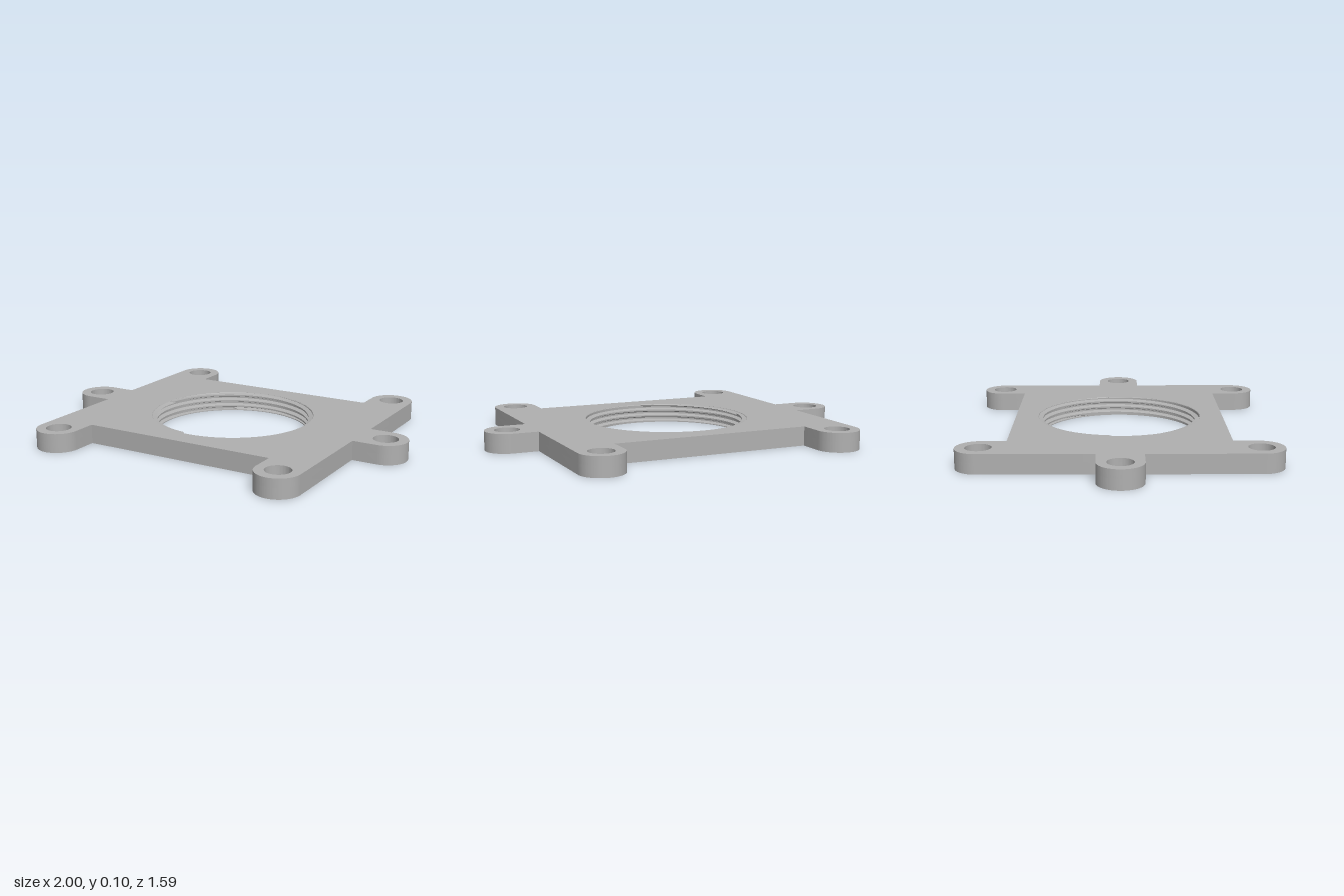
import * as THREE from 'three';
import { toCreasedNormals } from 'three/addons/utils/BufferGeometryUtils.js';

const HEIGHT = 0.1, SPLIT = 0.055;        // plate thickness, groove depth
const MINOR = 0.41, MAJOR = 0.433;        // thread radii
const LUG = 0.115, LUG_HOLE = 0.065;
const LUG_X = 0.64, LUG_Z = 0.68, SIDE_X = 0.885;
const PLATE_X = LUG_X + LUG, PLATE_Z = 0.555;

function circle(x, y, r) {
  return new THREE.Path().absarc(x, y, r, 0, Math.PI * 2, true);
}

function rectangle(Type, w, h) {
  return new Type([[-w, -h], [w, -h], [w, h], [-w, h]].map(([x, y]) => new THREE.Vector2(x, y)));
}

// Plate outline with four corner lugs and two side lugs, all drilled
function plateShape() {
  const s = new THREE.Shape();
  const inner = LUG_X - LUG, q = Math.PI / 2;
  s.moveTo(PLATE_X, -LUG);
  s.lineTo(SIDE_X, -LUG);
  s.absarc(SIDE_X, 0, LUG, -q, q, false);
  s.lineTo(PLATE_X, LUG);
  s.lineTo(PLATE_X, LUG_Z);
  s.absarc(LUG_X, LUG_Z, LUG, 0, Math.PI, false);
  s.lineTo(inner, PLATE_Z);
  s.lineTo(-inner, PLATE_Z);
  s.lineTo(-inner, LUG_Z);
  s.absarc(-LUG_X, LUG_Z, LUG, 0, Math.PI, false);
  s.lineTo(-PLATE_X, LUG);
  s.lineTo(-SIDE_X, LUG);
  s.absarc(-SIDE_X, 0, LUG, q, 3 * q, false);
  s.lineTo(-PLATE_X, -LUG);
  s.lineTo(-PLATE_X, -LUG_Z);
  s.absarc(-LUG_X, -LUG_Z, LUG, Math.PI, 2 * Math.PI, false);
  s.lineTo(-inner, -PLATE_Z);
  s.lineTo(inner, -PLATE_Z);
  s.lineTo(inner, -LUG_Z);
  s.absarc(LUG_X, -LUG_Z, LUG, Math.PI, 2 * Math.PI, false);
  s.closePath();
  for (const sx of [-1, 1]) {
    s.holes.push(circle(sx * SIDE_X, 0, LUG_HOLE));
    for (const sz of [-1, 1]) s.holes.push(circle(sx * LUG_X, sz * LUG_Z, LUG_HOLE));
  }
  return s;
}

// Flat layer between two heights
function layer(shape, y0, y1) {
  const g = new THREE.ExtrudeGeometry(shape, { depth: y1 - y0, bevelEnabled: false, curveSegments: 32 });
  g.rotateX(-Math.PI / 2);
  g.translate(0, y0, 0);
  return toCreasedNormals(g, 0.5);
}

// Helical thread facing the axis: a lathe whose rows climb one pitch per turn
function threadGeometry() {
  const pitch = 0.032, segments = 96;
  const profile = [[0.8, MAJOR], [0.55, MAJOR], [0.3, MINOR], [0.05, MINOR]];
  const rows = [new THREE.Vector2(MAJOR + 0.002, HEIGHT)];
  for (let k = 4; k >= -2; k--) {
    for (const [f, r] of profile) rows.push(new THREE.Vector2(r, (k + f) * pitch));
  }
  rows.push(new THREE.Vector2(MINOR, 0), new THREE.Vector2(MAJOR + 0.002, 0));
  const g = new THREE.LatheGeometry(rows, segments);
  const p = g.attributes.position;
  for (let i = 0; i < p.count; i++) {
    const row = i % rows.length, seg = Math.floor(i / rows.length);
    if (row === 0 || row >= rows.length - 2) continue;
    const angle = (seg / segments) * Math.PI * 2;
    let y = rows[row].y + (pitch * seg) / segments, r = rows[row].x;
    if (y > HEIGHT - 0.003) { y = HEIGHT - 0.003; r = MAJOR; }
    if (y < 0.004) { y = 0.004; r = MINOR; }
    p.setXYZ(i, r * Math.sin(angle), y, r * Math.cos(angle));
  }
  return toCreasedNormals(g, 0.5);
}

export function createModel() {
  const group = new THREE.Group();
  group.name = 'mountingPlate';
  const grey = new THREE.MeshStandardMaterial({ color: 0xb0b0b0 });
  grey.name = 'grey';
  const add = (name, geometry) => {
    const mesh = new THREE.Mesh(geometry, grey);
    mesh.name = name;
    group.add(mesh);
  };

  // Upper layer, closed except for the bore
  const top = plateShape();
  top.holes.push(circle(0, 0, MAJOR + 0.002));
  add('upperPlate', layer(top, SPLIT, HEIGHT));

  // Lower layer, split by a rectangular seal groove
  const rim = plateShape();
  rim.holes.push(rectangle(THREE.Path, 0.72, 0.512));
  add('lowerRim', layer(rim, 0, SPLIT));

  const island = rectangle(THREE.Shape, 0.675, 0.467);
  island.holes.push(circle(0, 0, MAJOR + 0.002));
  add('lowerCentre', layer(island, 0, SPLIT));

  add('threadedBore', threadGeometry());
  return group;
}
